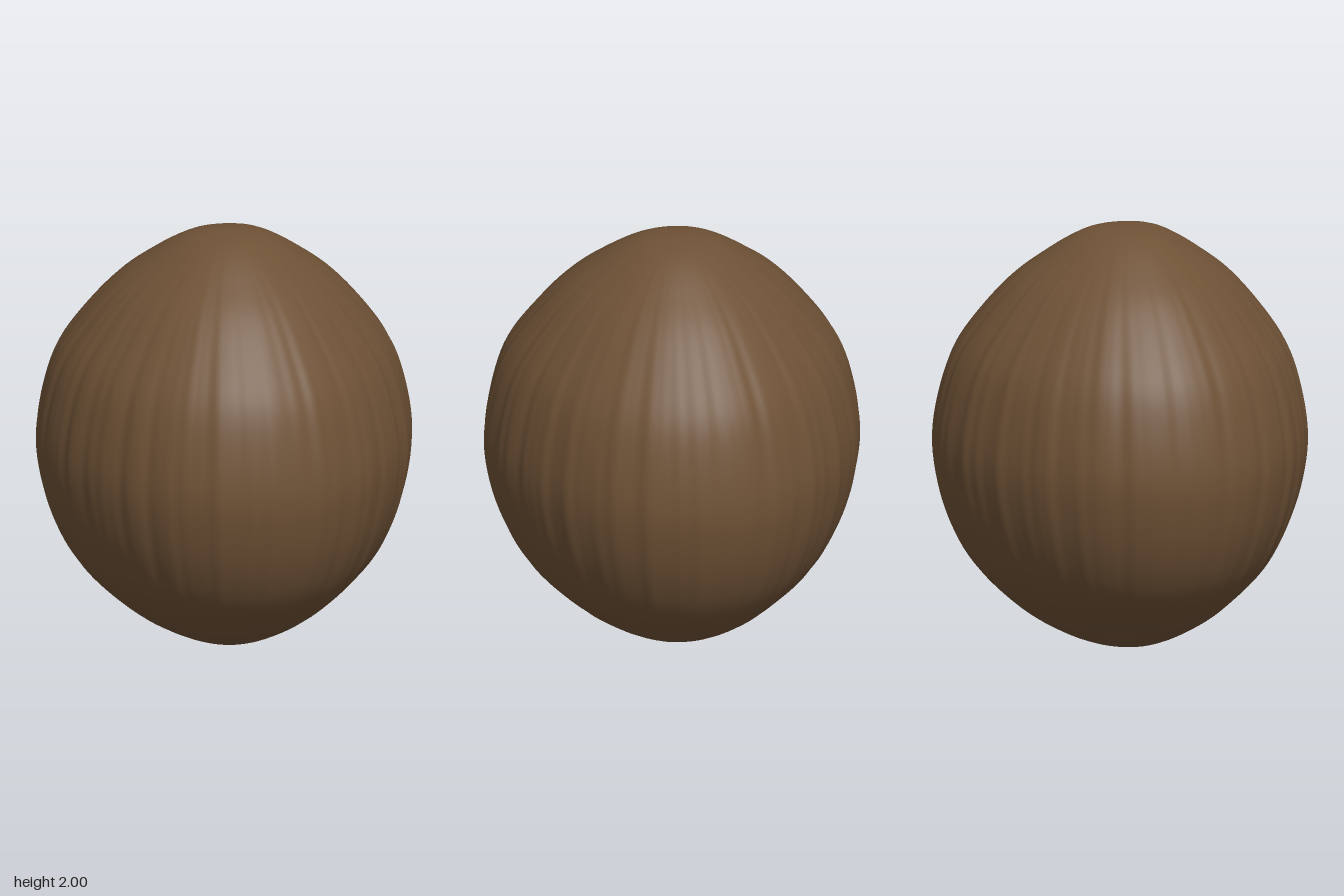
import * as THREE from 'three';
import { mergeVertices } from 'three/addons/utils/BufferGeometryUtils.js';

// Vertical profile from top to bottom: [fraction of full radius, height]
const PROFILE = [
  [0, 2], [0.1, 1.993], [0.2, 1.974], [0.3, 1.93], [0.42, 1.86], [0.58, 1.75],
  [0.735, 1.6], [0.89, 1.4], [0.965, 1.2], [1, 0.98], [0.98, 0.8], [0.915, 0.6],
  [0.795, 0.4], [0.57, 0.2], [0.4, 0.1], [0.2, 0.025], [0, 0],
];

const AXIS_X = -0.04; // the poles sit slightly off centre

// Rounded three-lobed cross-section, with one lobe towards +x
const lobeRadius = (a) => 0.865 + 0.035 * Math.cos(3 * a);

// Fine fibrous ridges running from pole to pole
function ridges(a, y) {
  return 0.0035 * Math.sin(23 * a + 1.5 * Math.sin(2 * a) + 0.8 * y)
    + 0.0025 * Math.sin(41 * a + 2 * Math.sin(3 * a + y))
    + 0.0015 * Math.sin(67 * a - 1.2 * y + Math.sin(5 * a));
}

function huskGeometry() {
  const curve = new THREE.CatmullRomCurve3(
    PROFILE.map(([r, y]) => new THREE.Vector3(r, y, 0)), false, 'centripetal');
  const rows = 72, columns = 256;
  const samples = curve.getSpacedPoints(rows);
  const geometry = new THREE.SphereGeometry(1, columns, rows);
  const pos = geometry.attributes.position;
  for (let i = 0; i < pos.count; i++) {
    const { x: f, y } = samples[Math.floor(i / (columns + 1))];
    const a = Math.PI - ((i % (columns + 1)) % columns) / columns * Math.PI * 2;
    const r = f * (lobeRadius(a) + ridges(a, y) * f);
    pos.setXYZ(i, AXIS_X + r * Math.cos(a), y, r * Math.sin(a));
  }
  // Weld the seam and poles so the shading is continuous
  geometry.deleteAttribute('uv');
  geometry.deleteAttribute('normal');
  const welded = mergeVertices(geometry, 1e-5);
  welded.computeVertexNormals();
  return welded;
}

export function createModel() {
  const group = new THREE.Group();
  group.name = 'coconut';
  const brown = new THREE.MeshStandardMaterial({ color: 0x6f5236 });
  brown.name = 'husk brown';
  const husk = new THREE.Mesh(huskGeometry(), brown);
  husk.name = 'husk';
  group.add(husk);
  return group;
}
